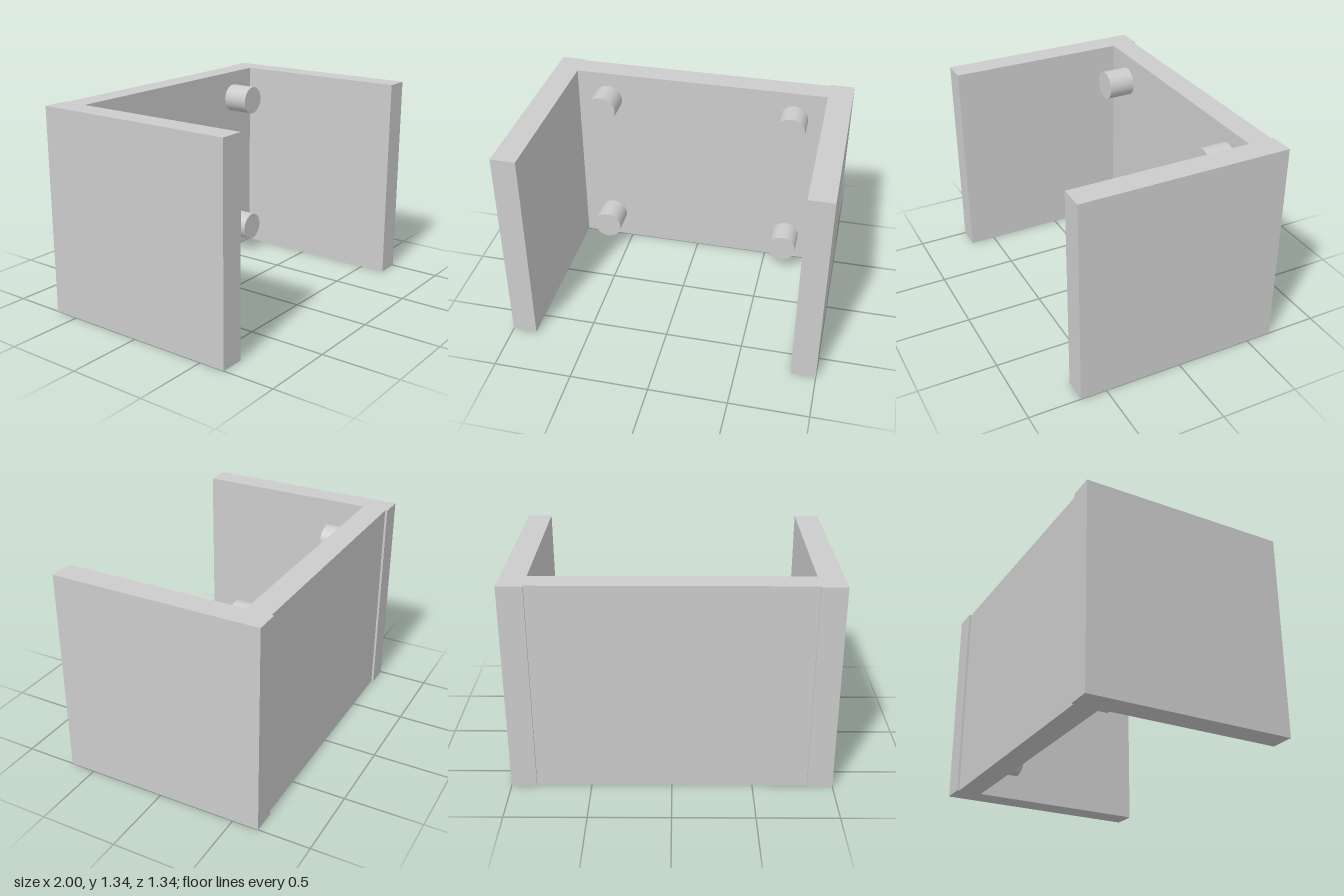
import * as THREE from 'three';

export function createModel() {
  const model = new THREE.Group();
  const material = new THREE.MeshStandardMaterial({ color: 0xcccccc });
  const add = (name, geometry, x, y, z) => {
    const mesh = new THREE.Mesh(geometry, material);
    mesh.name = name;
    mesh.position.set(x, y, z);
    model.add(mesh);
  };

  const height = 1.335, depth = 1.335;
  const wall = 0.157; // side panel thickness
  const backZ = -0.653, backFrontZ = -0.498; // back panel, slightly recessed

  // U-shaped bracket: one outline seen from above, extruded upward
  const xo = 1, xi = xo - wall, zf = depth / 2;
  const outline = new THREE.Shape([
    [-xo, zf], [-xi, zf], [-xi, backFrontZ], [xi, backFrontZ], [xi, zf], [xo, zf],
    [xo, -zf], [xi, -zf], [xi, backZ], [-xi, backZ], [-xi, -zf], [-xo, -zf],
  ].map(([x, z]) => new THREE.Vector2(x, -z)));
  const bracket = new THREE.ExtrudeGeometry(outline, { depth: height, bevelEnabled: false });
  bracket.rotateX(-Math.PI / 2);
  add('bracket', bracket, 0, 0, 0);

  // Four round pegs on the inner face of the back panel
  const pegFrontZ = -0.322, sunk = 0.02;
  const pegLength = pegFrontZ - backFrontZ + sunk;
  const peg = new THREE.CylinderGeometry(0.095, 0.095, pegLength, 48);
  peg.rotateX(Math.PI / 2);
  for (const [side, x] of [['left', 0.635], ['right', -0.635]]) {
    for (const [level, y] of [['Lower', 0.193], ['Upper', 1.147]]) {
      add(`${side}${level}Peg`, peg, x, y, pegFrontZ - pegLength / 2);
    }
  }
  return model;
}
